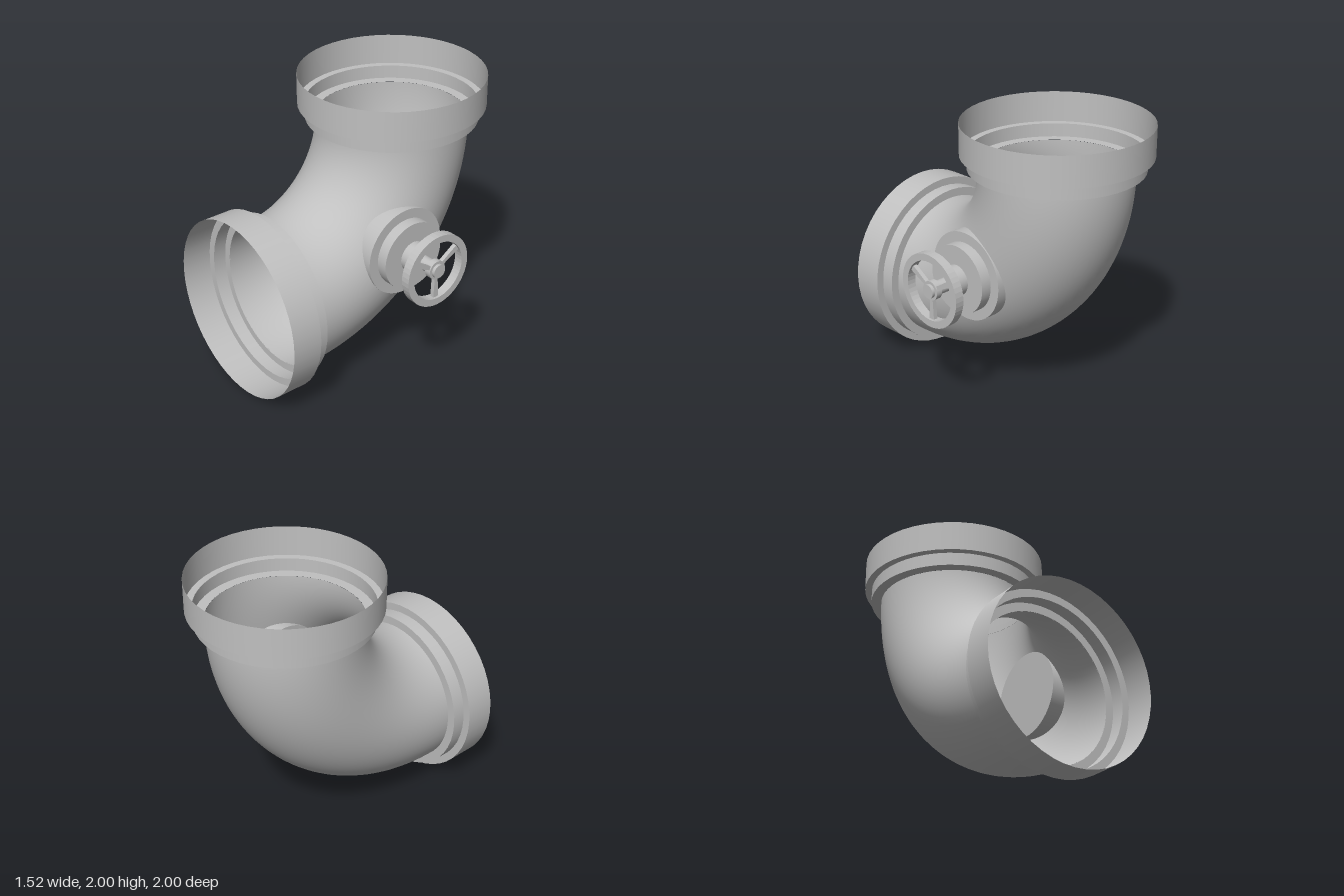
import * as THREE from 'three';

const PIPE_X = -0.115, PIPE_Y = 0.645, PIPE_Z = -0.35; // centre lines of the two openings
const PIPE_R = 0.525, BEND_R = 1.042;

export function createModel() {
  const model = new THREE.Group();
  model.name = 'pipeElbowWithValve';
  const metal = new THREE.MeshStandardMaterial({ color: 0xc0c0c0 });
  metal.name = 'grey metal';
  metal.side = THREE.DoubleSide;

  const add = (parent, name, geometry) => {
    const mesh = new THREE.Mesh(geometry, metal);
    mesh.name = name;
    parent.add(mesh);
    return mesh;
  };

  // Quarter-turn pipe, open at both ends
  const bend = new THREE.TorusGeometry(BEND_R, PIPE_R, 64, 48, Math.PI / 2);
  bend.applyMatrix4(new THREE.Matrix4().makeBasis(
    new THREE.Vector3(0, 0, -1), new THREE.Vector3(0, -1, 0), new THREE.Vector3(-1, 0, 0)));
  add(model, 'pipeBend', bend).position.set(PIPE_X, PIPE_Y + BEND_R, PIPE_Z + BEND_R);

  // Thin stepped socket; y = 0 is its mouth and it runs down towards the pipe
  const makeSocket = (name, outer, inner) => {
    const socket = new THREE.Group();
    socket.name = name;
    const sleeve = (part, r, top, bottom) => {
      const g = new THREE.CylinderGeometry(r, r, top - bottom, 48, 1, true);
      g.translate(0, (top + bottom) / 2, 0);
      add(socket, part, g);
    };
    const step = (part, r0, r1, y) => {
      const g = new THREE.RingGeometry(r0, r1, 48);
      g.rotateX(Math.PI / 2).translate(0, y, 0);
      add(socket, part, g);
    };
    sleeve('outerSleeve', outer, 0, -0.217);
    step('outerStep', inner, outer, -0.217);
    sleeve('innerSleeve', inner, -0.217, -0.312);
    step('innerStep', PIPE_R, inner, -0.312);
    model.add(socket);
    return socket;
  };
  makeSocket('topSocket', 0.645, 0.596).position.set(PIPE_X, 2, PIPE_Z);
  const front = makeSocket('frontSocket', 0.641, 0.586);
  front.position.set(PIPE_X, PIPE_Y, 1);
  front.rotation.x = Math.PI / 2;

  // Valve on the left side, its axis along x
  const valve = new THREE.Group();
  valve.name = 'valve';
  valve.position.set(0, 0.96, -0.025);
  model.add(valve);
  const disc = (name, r, x0, x1) => {
    const g = new THREE.CylinderGeometry(r, r, x1 - x0, 48);
    g.rotateZ(-Math.PI / 2).translate((x0 + x1) / 2, 0, 0);
    add(valve, name, g);
  };
  disc('valveBase', 0.314, 0.29, 0.418);
  disc('valveBonnet', 0.243, 0.418, 0.497);
  disc('valveNeck', 0.107, 0.497, 0.592);
  disc('valveStem', 0.048, 0.592, 0.757);
  disc('wheelHub', 0.067, 0.69, 0.735);

  // Handwheel rim
  const extrudeX = (shape, x, depth) => new THREE.ExtrudeGeometry(shape,
    { depth, bevelEnabled: false, curveSegments: 24 }).rotateY(Math.PI / 2).translate(x, 0, 0);
  const rim = new THREE.Shape().absarc(0, 0, 0.26, 0, Math.PI * 2);
  rim.holes.push(new THREE.Path().absarc(0, 0, 0.21, 0, Math.PI * 2, true));
  add(valve, 'wheelRim', extrudeX(rim, 0.68, 0.065));

  // Three spokes, wider towards the rim
  const spoke = new THREE.Shape([[-0.012, -0.05], [-0.022, -0.218], [0.022, -0.218], [0.012, -0.05]]
    .map(([x, y]) => new THREE.Vector2(x, y)));
  for (let i = 0; i < 3; i++) {
    add(valve, 'wheelSpoke', extrudeX(spoke, 0.697, 0.03)).rotation.x = i * Math.PI * 2 / 3;
  }
  return model;
}
